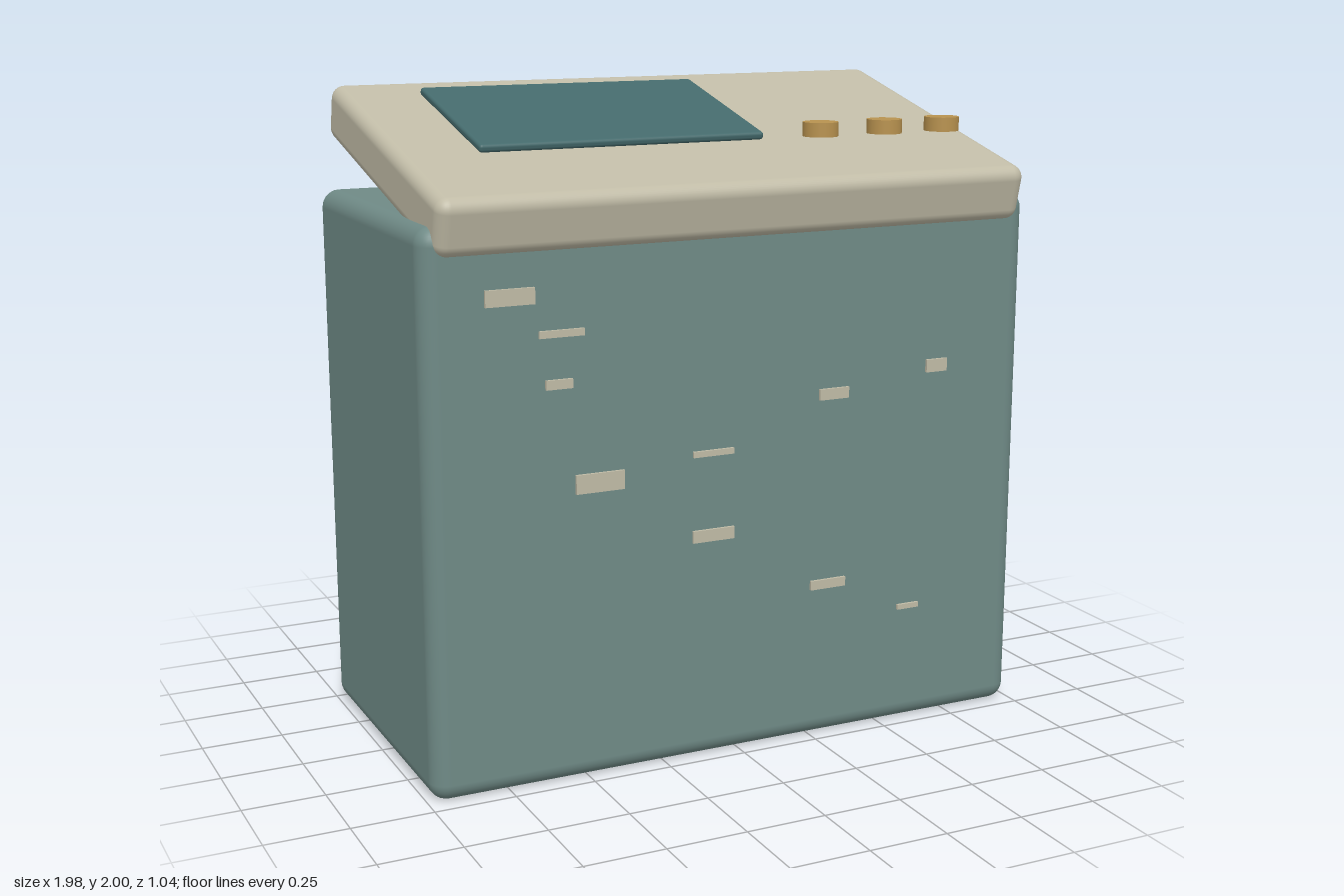
import * as THREE from 'three';
import { RoundedBoxGeometry } from 'three/addons/geometries/RoundedBoxGeometry.js';

const material = (name, color) => {
  const m = new THREE.MeshStandardMaterial({ color });
  m.name = name;
  return m;
};

export function createModel() {
  const teal = material('casing teal', 0x6f8a86);
  const cream = material('panel cream', 0xc0bba6);
  const darkTeal = material('screen dark teal', 0x446a6c);
  const brass = material('knob brass', 0xb8924f);

  const model = new THREE.Group();
  model.name = 'console';
  const add = (name, geometry, mat, x, y, z, tilt = 0) => {
    const mesh = new THREE.Mesh(geometry, mat);
    mesh.name = name;
    mesh.position.set(x, y, z);
    mesh.rotation.x = tilt;
    model.add(mesh);
  };

  // Cabinet and the sloping control panel resting on its front edge
  const tilt = THREE.MathUtils.degToRad(14);
  add('cabinet', new RoundedBoxGeometry(1.98, 1.68, 0.99, 4, 0.055), teal, 0, 0.84, -0.025);
  add('controlPanel', new RoundedBoxGeometry(1.9, 0.174, 1.046, 4, 0.04), cream, 0, 1.797, 0, tilt);

  // Screen parallel to the panel
  add('screen', new RoundedBoxGeometry(0.915, 0.025, 0.54, 3, 0.01), darkTeal, -0.258, 1.922, -0.05, tilt);

  // Upright knobs
  const knob = new THREE.CylinderGeometry(0.055, 0.055, 0.044, 24);
  for (const x of [0.392, 0.62, 0.83]) add('knob', knob, brass, x, 1.872, 0.218);

  // Worn chips on the front face: x, y, width, height
  const chips = [
    [-0.733, 1.474, 0.148, 0.048], [-0.579, 1.36, 0.138, 0.021],
    [-0.589, 1.214, 0.082, 0.028], [-0.465, 0.913, 0.152, 0.057],
    [-0.1, 0.96, 0.133, 0.018], [-0.099, 0.707, 0.137, 0.037],
    [0.307, 1.1, 0.1, 0.034], [0.669, 1.155, 0.073, 0.04],
    [0.296, 0.499, 0.121, 0.029], [0.588, 0.384, 0.076, 0.016],
  ];
  for (const [x, y, w, h] of chips) add('chip', new THREE.BoxGeometry(w, h, 0.009), cream, x, y, 0.478);

  return model;
}
